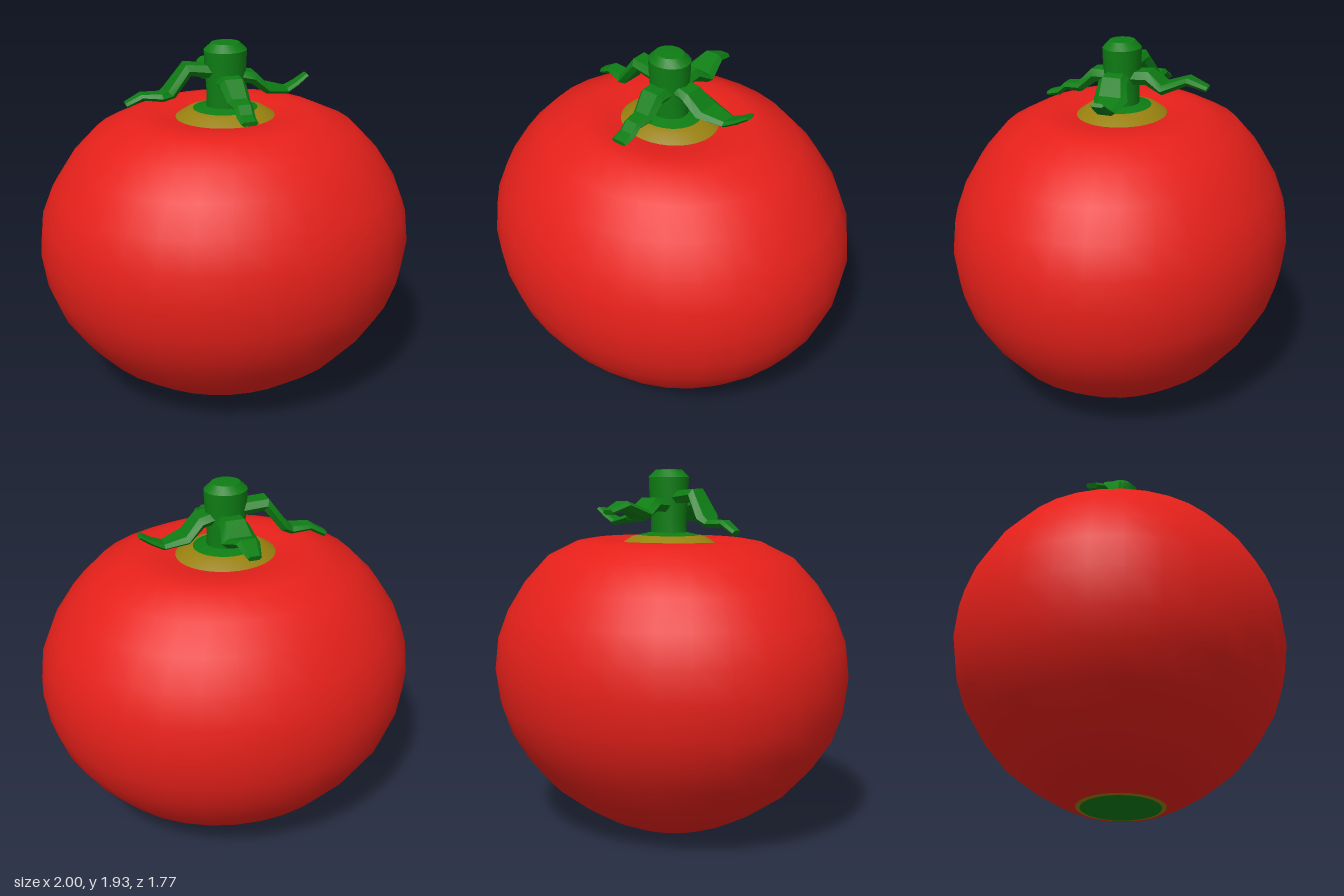
import * as THREE from 'three';
import { toCreasedNormals } from 'three/addons/utils/BufferGeometryUtils.js';

const DEPTH = 0.885; // the fruit is slightly narrower from front to back

const red = new THREE.MeshStandardMaterial({ color: 0xe6201a });
const green = new THREE.MeshStandardMaterial({ color: 0x0e7d14 });
const yellow = new THREE.MeshStandardMaterial({ color: 0x98800f });

// Turned part from an outline of [radius, height], running so faces look outward
function turned(name, outline, material, sides, crease) {
  let geometry = new THREE.LatheGeometry(outline.map(([r, y]) => new THREE.Vector2(r, y)), sides);
  geometry.scale(1, 1, DEPTH);
  if (crease) geometry = toCreasedNormals(geometry, crease);
  const mesh = new THREE.Mesh(geometry, material);
  mesh.name = name;
  return mesh;
}

// Bent sepal along +x: each station is [distance, height, sideways, half width, half thickness]
function sepal(name, stations, angle) {
  const section = [[-1, 0], [-0.65, 1], [0.65, 1], [1, 0], [0.65, -1], [-0.65, -1]];
  const n = section.length;
  const positions = [];
  const index = [];
  stations.forEach(([d, y, side, w, t], i) => {
    const before = stations[Math.max(i - 1, 0)];
    const after = stations[Math.min(i + 1, stations.length - 1)];
    const slope = Math.atan2(after[1] - before[1], after[0] - before[0]);
    for (const [u, v] of section) {
      positions.push(d - Math.sin(slope) * v * t, y + Math.cos(slope) * v * t, side + u * w);
    }
    if (i === 0) return;
    for (let j = 0; j < n; j++) {
      const a = (i - 1) * n + j;
      const b = (i - 1) * n + (j + 1) % n;
      index.push(a, b, b + n, a, b + n, a + n);
    }
  });
  // close the tip
  const tip = (stations.length - 1) * n;
  for (let j = 1; j < n - 1; j++) index.push(tip, tip + j, tip + j + 1);

  const geometry = new THREE.BufferGeometry();
  geometry.setAttribute('position', new THREE.Float32BufferAttribute(positions, 3));
  geometry.setIndex(index);
  const mesh = new THREE.Mesh(toCreasedNormals(geometry, 0.45), green);
  mesh.name = name;
  mesh.rotation.y = angle;
  return mesh;
}

export function createModel() {
  const model = new THREE.Group();
  model.name = 'tomato';

  // Fruit with a shallow dip at the top
  model.add(turned('fruit', [
    [0.25, 0.012], [0.28, 0.012], [0.39, 0.055], [0.53, 0.13], [0.69, 0.24], [0.82, 0.38],
    [0.92, 0.53], [0.975, 0.68], [1, 0.855], [0.98, 1.03], [0.92, 1.18], [0.82, 1.335],
    [0.69, 1.47], [0.52, 1.55], [0.43, 1.565], [0.34, 1.555], [0.25, 1.54],
  ], red, 32));

  // Blossom scar underneath
  model.add(turned('bottomRing', [[0.235, 0.008], [0.262, 0.012]], yellow, 32));
  model.add(turned('bottomScar', [[0, 0], [0.235, 0.008]], green, 32));

  // Collar and stem
  model.add(turned('collar', [[0.265, 1.54], [0.21, 1.575], [0.17, 1.585]], yellow, 32));
  model.add(turned('stemBase', [[0.17, 1.585], [0.1, 1.6]], green, 32));
  model.add(turned('stem', [
    [0.1, 1.59], [0.1, 1.68], [0.11, 1.82], [0.113, 1.89], [0.075, 1.927], [0, 1.932],
  ], green, 16, 0.5));

  // Four sepals, each bent its own way
  model.add(sepal('rightSideSepal', [
    [0.04, 1.76, 0, 0.06, 0.03], [0.14, 1.74, 0, 0.075, 0.03], [0.22, 1.67, 0.02, 0.09, 0.022],
    [0.34, 1.645, 0.035, 0.055, 0.015], [0.4, 1.675, 0.04, 0.045, 0.012], [0.46, 1.715, 0.045, 0.035, 0.01],
  ].map(([d, y, s, w, t]) => [d, y, -s, w, t]), 0));
  model.add(sepal('backSepal', [
    [0.04, 1.74, 0, 0.07, 0.035], [0.15, 1.75, 0, 0.075, 0.035], [0.235, 1.7, 0, 0.095, 0.025],
    [0.36, 1.75, 0, 0.06, 0.02], [0.46, 1.715, 0, 0.036, 0.014],
  ], Math.PI / 2));
  model.add(sepal('leftSideSepal', [
    [0.04, 1.78, 0, 0.06, 0.035], [0.2, 1.8, 0.015, 0.065, 0.032], [0.29, 1.68, 0.03, 0.09, 0.025],
    [0.33, 1.655, 0.045, 0.06, 0.02], [0.43, 1.66, 0.06, 0.045, 0.016], [0.51, 1.615, 0.075, 0.032, 0.014],
  ], Math.PI));
  model.add(sepal('frontSepal', [
    [0.04, 1.74, 0, 0.07, 0.035], [0.14, 1.74, 0, 0.07, 0.035], [0.22, 1.67, -0.01, 0.06, 0.025],
    [0.3, 1.665, -0.01, 0.05, 0.02], [0.34, 1.63, -0.01, 0.048, 0.016], [0.405, 1.615, -0.01, 0.045, 0.012],
  ], -Math.PI / 2));

  return model;
}
